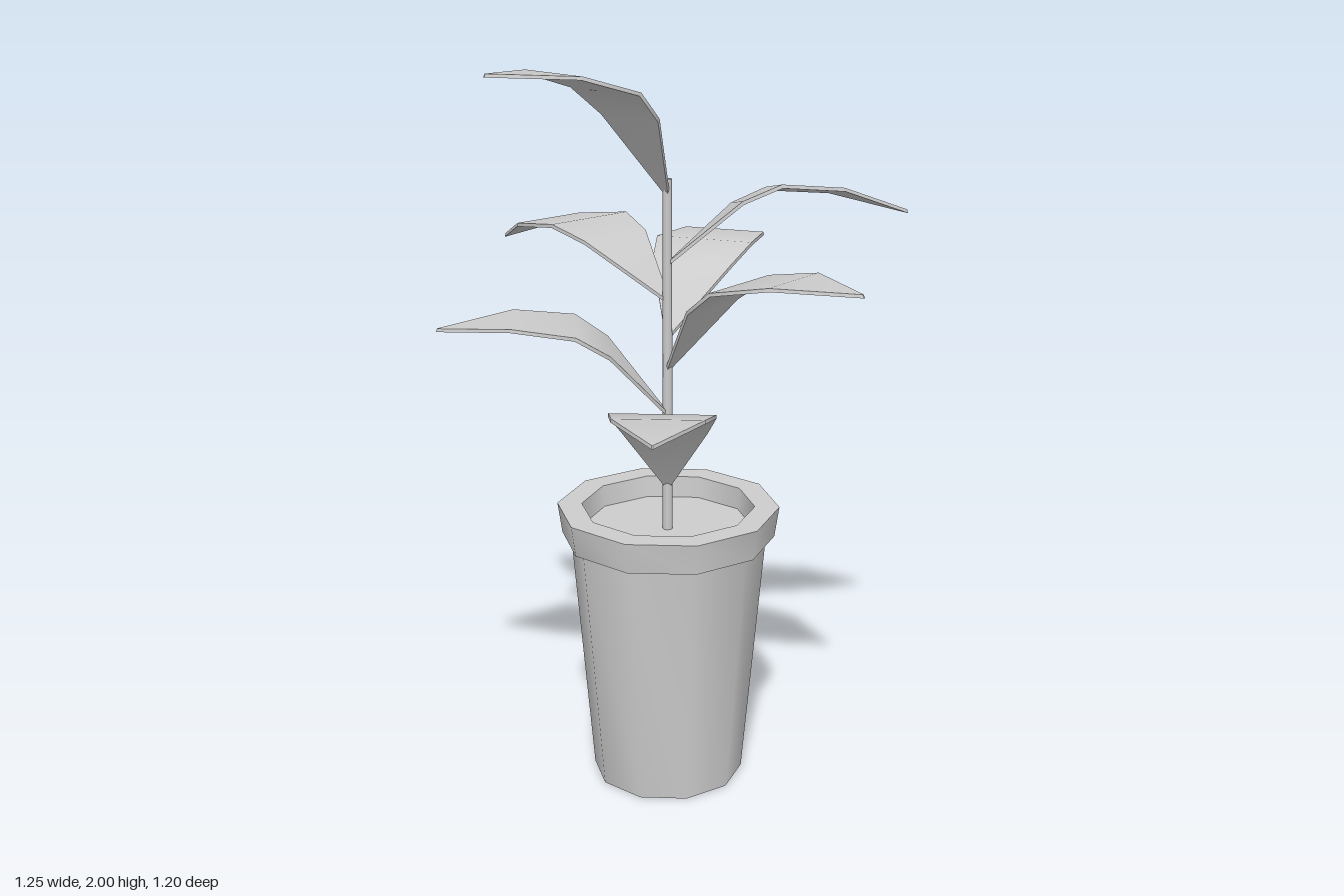
import * as THREE from 'three';
import { toCreasedNormals } from 'three/addons/utils/BufferGeometryUtils.js';

const material = new THREE.MeshStandardMaterial({ color: 0xcccccc });
const thinMaterial = new THREE.MeshStandardMaterial({ color: 0xcccccc, side: THREE.DoubleSide });
const STEM_X = -0.017, STEM_Z = 0.01;

function addMesh(parent, name, geometry, mat = material) {
  const mesh = new THREE.Mesh(geometry, mat);
  mesh.name = name;
  parent.add(mesh);
  return mesh;
}

// The hand-made pot stands slightly skewed: lower at the front, leaning back.
function skew(geometry) {
  const p = geometry.attributes.position;
  for (let i = 0; i < p.count; i++) {
    const y = p.getY(i), z = p.getZ(i);
    p.setXYZ(i, p.getX(i) + STEM_X, y + 0.007 - 0.033 * z, z + 0.007 - 0.022 * y);
  }
  geometry.computeVertexNormals();
  return geometry;
}

// Leaf blade: a thin slab bent through stations of [reach, height, half width].
function leafGeometry() {
  const stations = [
    [0, 0, 0.006], [0.215, 0.116, 0.115], [0.32, 0.137, 0.14],
    [0.483, 0.094, 0.118], [0.66, 0, 0.002],
  ];
  const geometry = new THREE.BoxGeometry(2, 0.01, 1, 2, 1, stations.length - 1);
  const p = geometry.attributes.position;
  for (let i = 0; i < p.count; i++) {
    const [reach, height, half] = stations[Math.round((p.getZ(i) + 0.5) * (stations.length - 1))];
    p.setXYZ(i, p.getX(i) * half, height + p.getY(i), reach);
  }
  geometry.computeVertexNormals();
  return geometry;
}

export function createModel() {
  const model = new THREE.Group();
  model.name = 'pottedPlant';

  // Ten-sided hollow pot with a thick rim
  const profile = [
    [0.17, 0], [0.21, 0], [0.272, 0.695], [0.295, 0.695], [0.308, 0.78],
    [0.24, 0.78], [0.17, 0],
  ].map(([r, y]) => new THREE.Vector2(r, y));
  const pot = skew(new THREE.LatheGeometry(profile, 10, Math.PI / 10));
  addMesh(model, 'pot', toCreasedNormals(pot, 0.7));

  // Soil surface inside the rim
  const soil = new THREE.CircleGeometry(0.235, 10).rotateX(-Math.PI / 2).translate(0, 0.72, 0);
  addMesh(model, 'soil', skew(soil), thinMaterial);

  // Stem
  const stem = addMesh(model, 'stem', new THREE.CylinderGeometry(0.012, 0.014, 0.99, 8));
  stem.position.set(STEM_X, 1.2, STEM_Z);

  // Leaves: [base height, tip x, tip z, pitch in degrees, roll]
  const blade = leafGeometry();
  const leaves = [
    [0.85, -0.017, 0.60, 26.5, 0],
    [1.055, -0.63, 0.085, 21.6, 0],
    [1.18, 0.49, 0.335, 25, 0],
    [1.27, 0.185, -0.605, 14.5, 0],
    [1.37, -0.515, -0.42, 8, 0],
    [1.468, 0.63, -0.118, 11, -0.18],
    [1.655, -0.43, 0.405, 31, 0],
  ];
  leaves.forEach(([y, tipX, tipZ, pitch, roll], i) => {
    const leaf = addMesh(model, `leaf${i + 1}`, blade);
    leaf.position.set(STEM_X, y, STEM_Z);
    leaf.rotation.set(
      -THREE.MathUtils.degToRad(pitch), Math.atan2(tipX - STEM_X, tipZ - STEM_Z), roll, 'YXZ');
  });

  return model;
}
